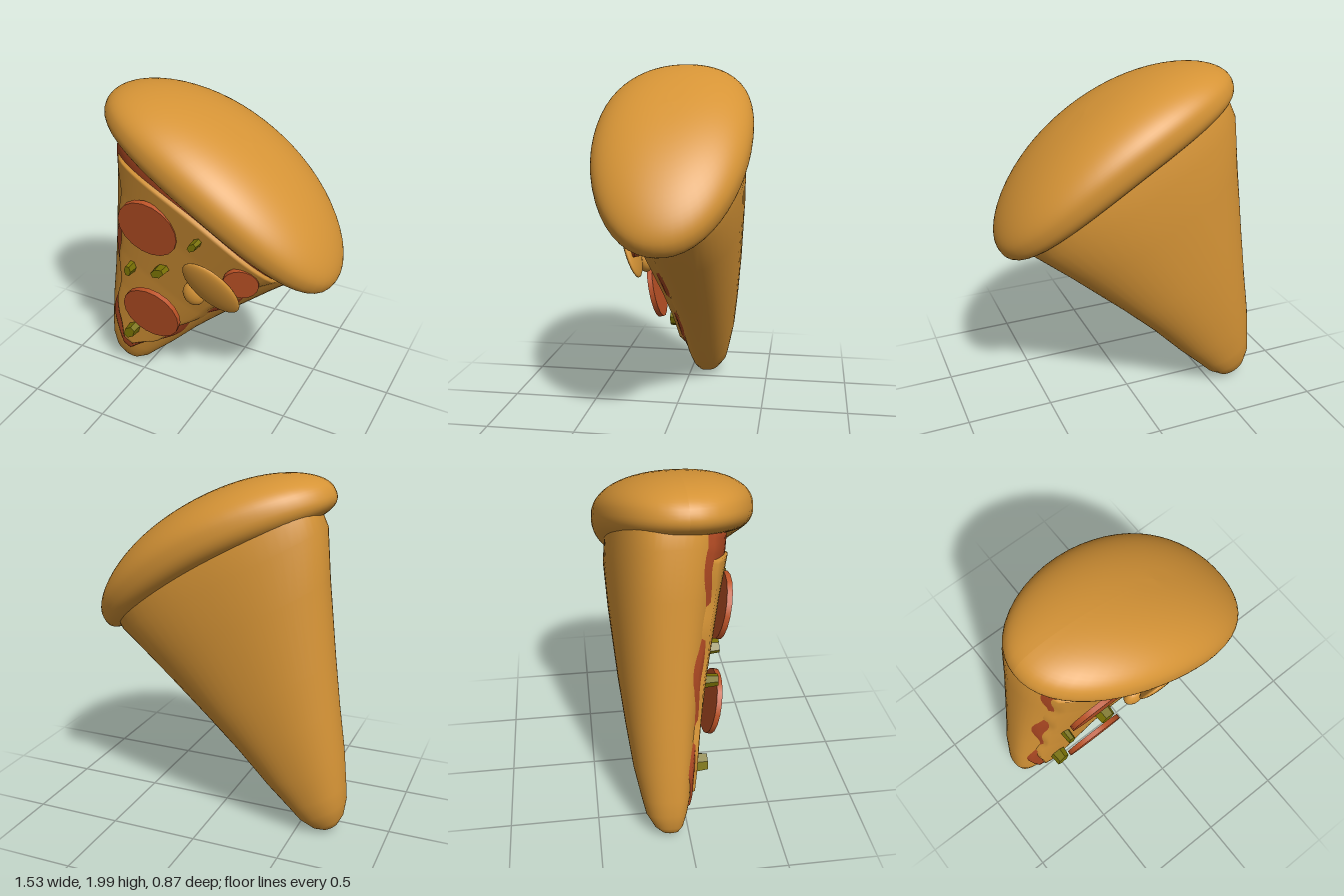
import * as THREE from 'three';

const mat = (name, color, extra = {}) => Object.assign(new THREE.MeshStandardMaterial({ color, ...extra }), { name });

// Body sections along the slice: v, left edge, right edge, back z, front z
const MID = -0.1;
const SECTIONS = [
  [-0.1, 0.01, 0.012, -0.11, -0.1], [-0.085, -0.04, 0.06, -0.15, -0.06], [-0.05, -0.09, 0.105, -0.19, -0.035],
  [0.03, -0.15, 0.15, -0.235, -0.01], [0.12, -0.19, 0.175, -0.255, 0.01], [0.3, -0.27, 0.23, -0.29, 0.03],
  [0.55, -0.365, 0.295, -0.32, 0.06], [0.8, -0.465, 0.375, -0.345, 0.1], [1.2, -0.63, 0.515, -0.375, 0.18],
  [1.45, -0.74, 0.61, -0.385, 0.24], [1.58, -0.75, 0.62, -0.37, 0.26],
];

function section(v) {
  let i = 0;
  while (i < SECTIONS.length - 2 && SECTIONS[i + 1][0] < v) i++;
  const a = SECTIONS[i], b = SECTIONS[i + 1];
  const t = THREE.MathUtils.clamp((v - a[0]) / (b[0] - a[0]), 0, 1);
  return a.map((n, k) => n + (b[k] - n) * t);
}

// Height of the front face of the body
function faceZ(u, v) {
  const [, l, r, , front] = section(v);
  const s = Math.min(0.98, Math.abs((u - (l + r) / 2) / ((r - l) / 2)));
  return MID + (front - MID) * Math.pow(1 - Math.pow(s, 2.7), 1 / 2.7);
}

function surface(positions, index) {
  const g = new THREE.BufferGeometry();
  g.setAttribute('position', new THREE.Float32BufferAttribute(positions, 3));
  g.setIndex(index);
  g.computeVertexNormals();
  return g;
}

// Rounded wedge skinned over the sections
function bodyGeometry() {
  const N = 56, pos = [], idx = [];
  SECTIONS.forEach(([v, l, r, back, front], j) => {
    for (let i = 0; i < N; i++) {
      const a = (i / N) * Math.PI * 2, c = Math.cos(a), s = Math.sin(a);
      const n = s > 0 ? 2.7 : 2.2;
      const k = Math.pow(Math.abs(c) ** n + Math.abs(s) ** n, -1 / n);
      pos.push((l + r) / 2 + ((r - l) / 2) * c * k, v, MID + s * k * (s > 0 ? front - MID : MID - back));
      if (j < SECTIONS.length - 1) {
        const p = j * N + i, q = j * N + ((i + 1) % N);
        idx.push(p, p + N, q, q, p + N, q + N);
      }
    }
  });
  const tip = pos.length / 3;
  pos.push(0.011, -0.1, -0.105);
  for (let i = 0; i < N; i++) idx.push(tip, i, (i + 1) % N);
  return surface(pos, idx);
}

// Layer hugging the front face, with its border sunk into the dough
function layerGeometry(v0, v1, left, right, topArc, lift) {
  const R = 60, C = 28, pos = [], idx = [];
  for (let j = 0; j <= R; j++) {
    const f = j / R, v = v0 + (v1 - v0) * f;
    const round = Math.sqrt(Math.min(1, f * 7 + 0.01));
    const [, bl, br] = section(v);
    const l = Math.max(left(v) * round, bl * 0.97), r = Math.min(right(v) * round, br * 0.97);
    for (let i = 0; i <= C; i++) {
      const t = i / C, u = l + (r - l) * t;
      const vv = v - topArc * f ** 4 * (2 * t - 1) ** 2;
      const edge = i === 0 || i === C || j === 0 || j === R;
      pos.push(u, vv, faceZ(u, vv) + (edge ? -0.01 : lift));
      if (i < C && j < R) {
        const a = j * (C + 1) + i, c = a + C + 1;
        idx.push(a, a + 1, c, a + 1, c + 1, c);
      }
    }
  }
  return surface(pos, idx);
}

// Plump arched rim: domed above, with a blunt lip below
function crustGeometry() {
  const g = new THREE.SphereGeometry(1, 56, 40), p = g.attributes.position;
  for (let i = 0; i < p.count; i++) {
    const x = p.getX(i), y = p.getY(i), z = p.getZ(i), r = Math.hypot(x, z);
    let a = 0, c = 0;
    if (r > 1e-6) {
      const k = Math.pow(r, y > 0 ? 0.75 : 0.55) / r / Math.pow(Math.abs(x / r) ** 2.1 + Math.abs(z / r) ** 2.1, 1 / 2.1);
      a = x * k;
      c = z * k;
    }
    const h = Math.sign(y) * Math.pow(Math.abs(y), 0.85);
    p.setXYZ(i, -0.05 + 0.79 * a, 1.725 - 0.155 * a * a - 0.035 * a - 0.03 * c * c + 0.18 * h, 0.435 * c);
  }
  g.computeVertexNormals();
  return g;
}

export function createModel() {
  const dough = mat('bakedDough', 0xd69436);
  const sauce = mat('tomatoSauce', 0xac4822, { side: THREE.DoubleSide });
  const pepperoni = mat('pepperoni', 0xbc5226);
  const pepper = mat('greenPepper', 0x7a7204, { flatShading: true });

  const model = new THREE.Group();
  model.name = 'pizzaSlice';
  // Slice frame: x across, y from tip to crust
  const slice = new THREE.Group();
  slice.name = 'slice';
  const tilt = -0.513;
  slice.rotation.z = tilt;
  slice.position.set(-0.65, 0.1, 0);
  model.add(slice);

  const add = (parent, name, geo, m) => {
    const mesh = new THREE.Mesh(geo, m);
    mesh.name = name;
    parent.add(mesh);
    return mesh;
  };
  const zAt = (x, y) => {
    const c = Math.cos(tilt), s = Math.sin(tilt), dx = x + 0.65, dy = y - 0.1;
    return faceZ(c * dx + s * dy, -s * dx + c * dy);
  };

  add(slice, 'body', bodyGeometry(), dough);
  add(slice, 'crust', crustGeometry(), dough);
  add(slice, 'sauce', layerGeometry(0.035, 1.58,
    v => -0.075 - 0.405 * v - 0.032 * Math.sin(v * 11 - 1.3),
    v => 0.065 + 0.325 * v + 0.026 * Math.sin(v * 12 - 3.79), 0.04, 0.014), sauce);
  add(slice, 'cheese', layerGeometry(0.115, 1.485,
    v => -0.05 - 0.4 * v - 0.012 * Math.sin(v * 19),
    v => 0.055 + 0.315 * v + 0.012 * Math.sin(v * 17 + 2), 0.085, 0.03), dough);

  // Pepperoni discs: x, y, z, radius, sideways tilt
  for (const [x, y, z, r, turn] of [
    [-0.285, 1.24, 0.215, 0.186, 0], [-0.31, 0.63, 0.175, 0.186, 0], [0.285, 1.045, 0.205, 0.1, 0.35],
  ]) {
    const disc = new THREE.CylinderGeometry(r, r, 0.03, 18).rotateX(Math.PI / 2);
    const m = add(model, 'pepperoni', disc, pepperoni);
    m.position.set(x, y, z);
    m.rotation.set(0.2, turn, 0);
  }

  // Mushroom slice: flat cap and round stem
  const mushroom = new THREE.Group();
  mushroom.name = 'mushroom';
  model.add(mushroom);
  const cap = add(mushroom, 'mushroomCap', new THREE.SphereGeometry(1, 24, 16), dough);
  cap.scale.set(0.135, 0.205, 0.03);
  cap.rotation.set(0.34, 0, 0.62);
  cap.position.set(0.125, 0.985, 0.245);
  const stem = add(mushroom, 'mushroomStem', new THREE.SphereGeometry(1, 16, 12), dough);
  stem.scale.set(0.07, 0.075, 0.045);
  stem.position.set(-0.015, 0.87, 0.185);

  // Diced peppers: x, y, length, width, turn
  for (const [x, y, l, w, turn] of [
    [0.04, 1.255, 0.08, 0.05, 0.8], [-0.235, 0.955, 0.115, 0.065, 0.5],
    [-0.465, 0.88, 0.085, 0.055, 1.5], [-0.52, 0.365, 0.12, 0.08, 0.9],
  ]) {
    const dice = new THREE.CylinderGeometry(0.42, 0.5, 1, 6).rotateX(Math.PI / 2);
    const m = add(model, 'pepperPiece', dice, pepper);
    m.scale.set(l, w, 0.08);
    m.rotation.z = turn;
    m.position.set(x, y, zAt(x, y) + 0.055);
  }
  return model;
}
